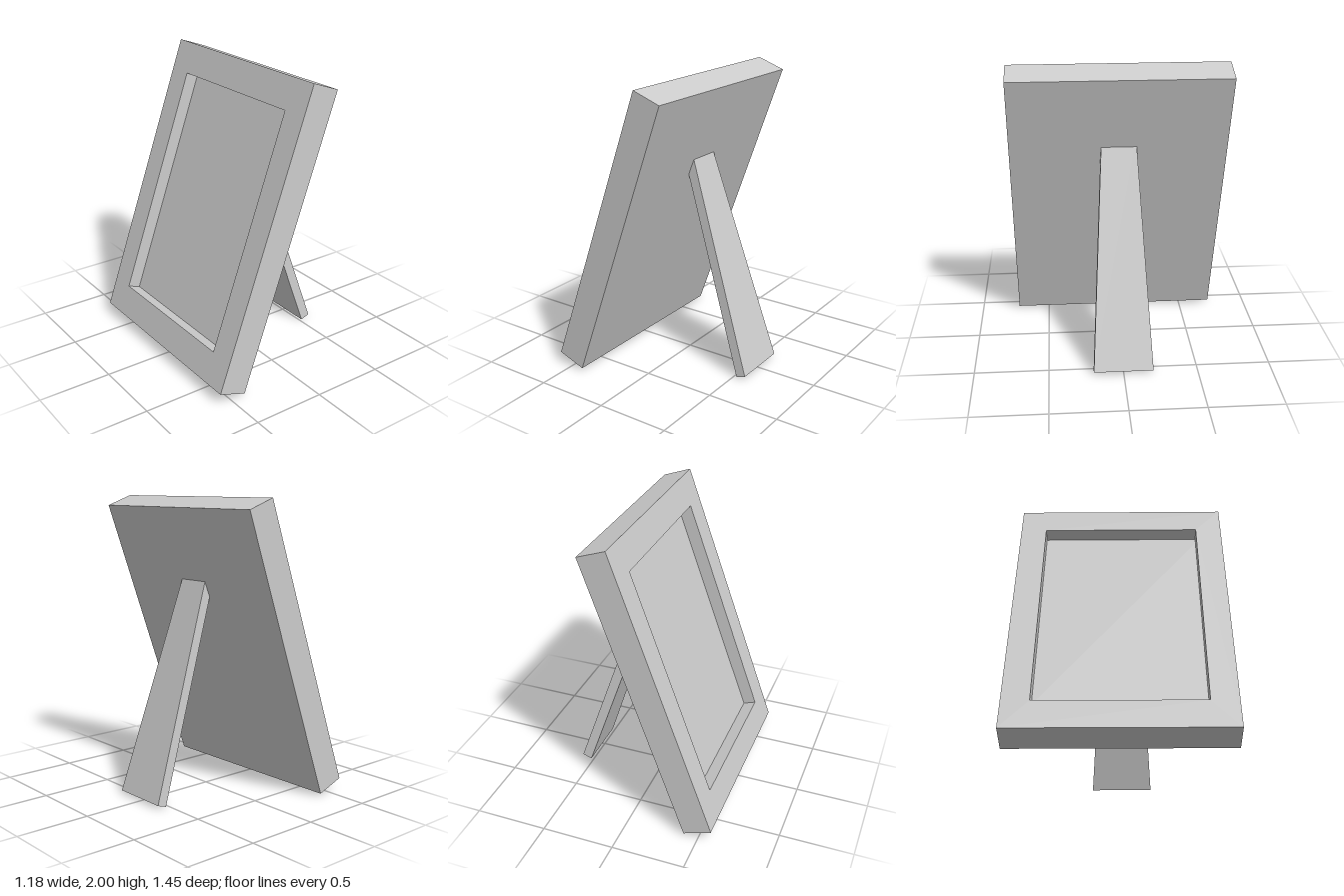
import * as THREE from 'three';

const material = new THREE.MeshStandardMaterial({ color: 0xcccccc, flatShading: true });

// Four-sided outline, symmetric about x = 0
function outline(Type, y0, y1, half0, half1) {
  return new Type([[-half0, y0], [half0, y0], [half1, y1], [-half1, y1]].map(p => new THREE.Vector2(...p)));
}

function addMesh(parent, name, geometry) {
  const mesh = new THREE.Mesh(geometry, material);
  mesh.name = name;
  parent.add(mesh);
  return mesh;
}

// Group turned to face along x, then leaned about z
function leaningGroup(name, turn, lean, x, y) {
  const group = new THREE.Group();
  group.name = name;
  group.rotation.set(0, turn, lean, 'ZYX');
  group.position.set(x, y, 0);
  return group;
}

export function createModel() {
  const model = new THREE.Group();
  model.name = 'pictureFrame';

  // Leaning frame: rim around the recess, with a solid board behind it
  const height = 2.034, width = 1.45, depth = 0.202, recess = 0.092;
  const frame = leaningGroup('frame', -Math.PI / 2, -0.3435, -0.1525, 1.0075);
  const rim = outline(THREE.Shape, -height / 2, height / 2, width / 2, width / 2);
  const holeTop = height / 2 - 0.21;
  rim.holes.push(outline(THREE.Path, -holeTop, holeTop, 0.545, 0.545));
  addMesh(frame, 'rim', new THREE.ExtrudeGeometry(rim, { depth: recess, bevelEnabled: false }))
    .position.z = depth / 2 - recess;
  addMesh(frame, 'backBoard', new THREE.BoxGeometry(width, height, depth - recess))
    .position.z = -recess / 2;
  model.add(frame);

  // Tapered prop leg, its top end sunk into the back board
  const leg = leaningGroup('leg', Math.PI / 2, 0.3225, 0.585, 0.022);
  const legShape = outline(THREE.Shape, 0, 1.55, 0.2, 0.115);
  addMesh(leg, 'propLeg', new THREE.ExtrudeGeometry(legShape, { depth: 0.069, bevelEnabled: false }))
    .position.z = -0.069;
  model.add(leg);

  return model;
}
